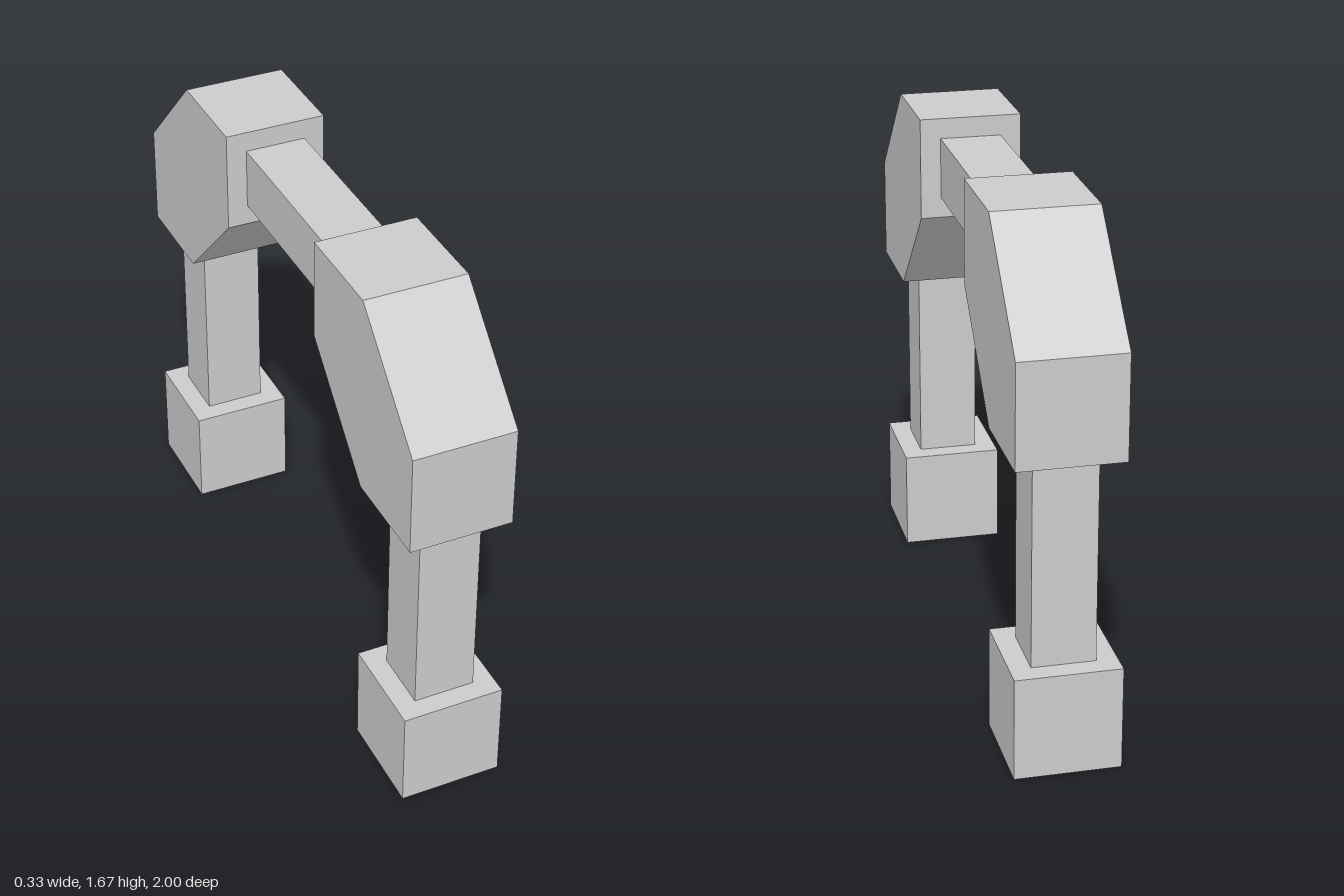
import * as THREE from 'three';

const U = 1 / 3; // width of a foot, the module for all proportions
const BAR = 0.2; // thickness of the legs and crossbar

export function createModel() {
  const model = new THREE.Group();
  model.name = 'archway';
  const material = new THREE.MeshStandardMaterial({ color: 0xcccccc, flatShading: true });

  function add(name, geometry, parent, y = 0, z = 0) {
    const mesh = new THREE.Mesh(geometry, material);
    mesh.name = name;
    mesh.position.set(0, y, z);
    parent.add(mesh);
  }

  // Chamfered corner block: side profile (outward, up) extruded across the width
  const profile = [[3, 3], [3, 4], [2, 5], [1, 5], [1, 4], [2, 3]];
  const shape = new THREE.Shape(profile.map(([a, b]) => new THREE.Vector2(a * U, b * U)));
  const elbow = new THREE.ExtrudeGeometry(shape, { depth: U, bevelEnabled: false });
  elbow.translate(0, 0, -U / 2).rotateY(-Math.PI / 2);

  const foot = new THREE.BoxGeometry(U, U, U);
  const leg = new THREE.BoxGeometry(BAR, 2 * U, BAR);

  // Two identical supports, the back one turned around
  for (const [name, turn] of [['frontSupport', 0], ['backSupport', Math.PI]]) {
    const support = new THREE.Group();
    support.name = name;
    support.rotation.y = turn;
    add('foot', foot, support, U / 2, 2.5 * U);
    add('leg', leg, support, 2 * U, 2.5 * U);
    add('elbow', elbow, support);
    model.add(support);
  }

  // Crossbar between the elbows
  add('crossbar', new THREE.BoxGeometry(BAR, BAR, 2 * U), model, 4.5 * U);

  return model;
}
